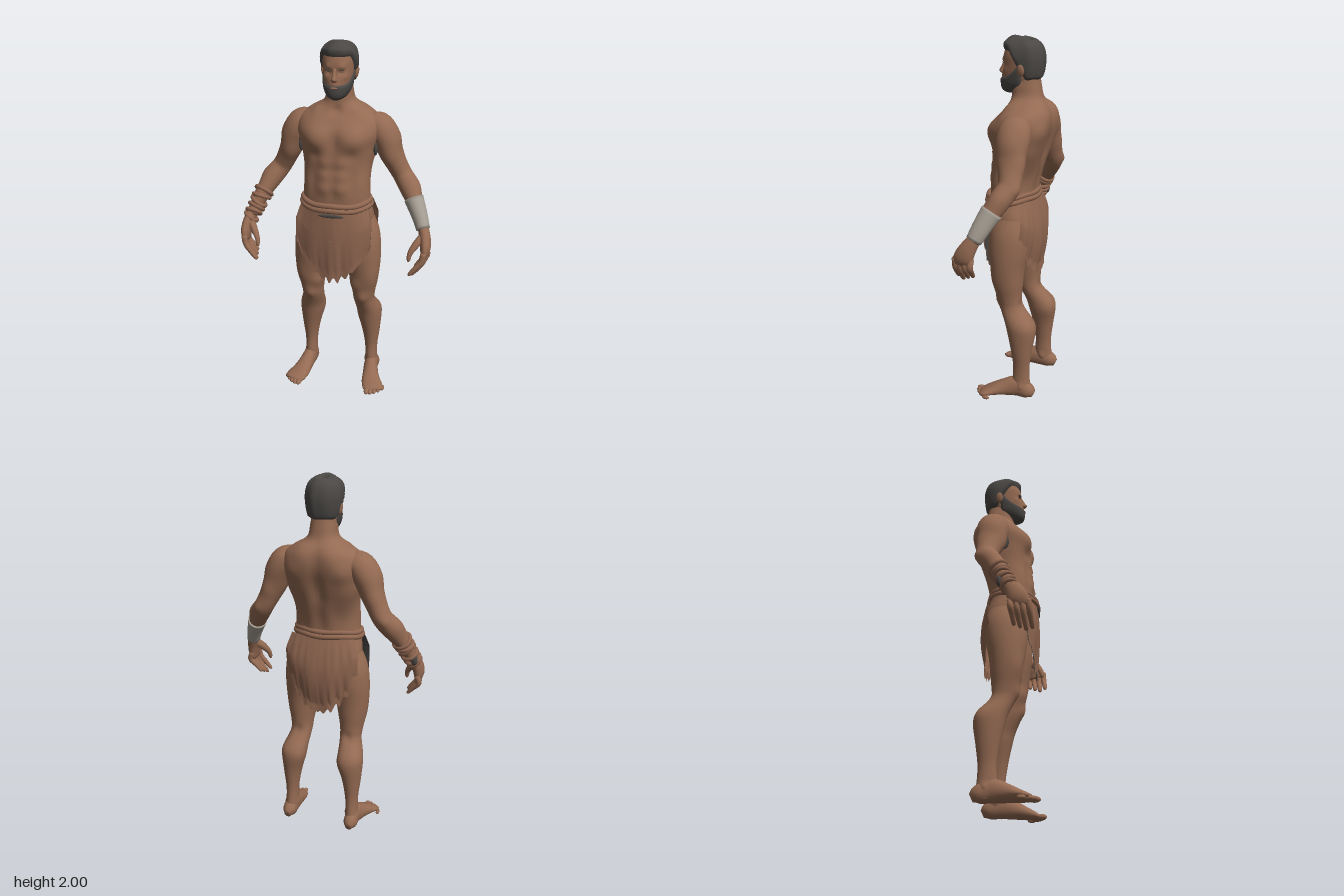
import * as THREE from 'three';
import { ParametricGeometry } from 'three/addons/geometries/ParametricGeometry.js';

const V = (x, y, z) => new THREE.Vector3(x, y, z);
const clamp = THREE.MathUtils.clamp;

// Smooth closed skin through elliptical sections [x, y, z, radiusU, radiusV].
function loft(rows, { seg = 24, sub = 4, level = false, power = 2 } = {}) {
  const path = new THREE.CatmullRomCurve3(rows.map(r => V(r[0], r[1], r[2])), false, 'catmullrom');
  const size = new THREE.CatmullRomCurve3(rows.map(r => V(r[3], r[4], 0)), false, 'catmullrom');
  const n = (rows.length - 1) * sub, pos = [], idx = [];
  const bend = c => Math.sign(c) * Math.abs(c) ** (2 / power);
  for (let i = 0; i <= n; i++) {
    const c = path.getPoint(i / n), s = size.getPoint(i / n), t = path.getTangent(i / n);
    if (level) t.set(0, Math.sign(rows[1][1] - rows[0][1]), 0);
    const u = V(1, 0, 0).addScaledVector(t, -t.x).normalize(), v = t.clone().cross(u);
    for (let j = 0; j < seg; j++) {
      const a = j / seg * Math.PI * 2;
      const p = c.clone().addScaledVector(u, bend(Math.cos(a)) * Math.max(s.x, 0.001))
        .addScaledVector(v, bend(Math.sin(a)) * Math.max(s.y, 0.001));
      pos.push(p.x, p.y, p.z);
      const a0 = i * seg + j, b0 = i * seg + (j + 1) % seg;
      if (i < n) idx.push(a0, b0, b0 + seg, a0, b0 + seg, a0 + seg);
    }
  }
  const end = pos.length / 3;
  pos.push(...path.getPoint(0).toArray(), ...path.getPoint(1).toArray());
  for (let j = 0; j < seg; j++) {
    const k = (j + 1) % seg;
    idx.push(end, k, j, end + 1, n * seg + j, n * seg + k);
  }
  const g = new THREE.BufferGeometry();
  g.setAttribute('position', new THREE.Float32BufferAttribute(pos, 3));
  g.setIndex(idx);
  g.computeVertexNormals();
  return g;
}
// Level sections given as [y, xMin, xMax, zFront, zBack].
const spans = (rows, opt) => loft(rows.map(([y, a, b, f, k]) =>
  [(a + b) / 2, y, (f + k) / 2, (b - a) / 2, (f - k) / 2]), { level: true, ...opt });

// Push vertices along their normals by amount(p), never below the ground.
function sculpt(g, amount) {
  const P = g.attributes.position, N = g.attributes.normal, p = V(), m = V();
  for (let i = 0; i < P.count; i++) {
    p.fromBufferAttribute(P, i);
    p.addScaledVector(m.fromBufferAttribute(N, i), amount(p));
    P.setXYZ(i, p.x, Math.max(p.y, 0), p.z);
  }
  g.computeVertexNormals();
  return g;
}
// Sum of soft bumps [x, y, z, radius, height, vertical stretch].
const bumps = (list, mirrored) => p => list.reduce((sum, [x, y, z, r, h, k = 1]) => {
  const dx = (mirrored ? Math.abs(p.x) : p.x) - x, dy = (p.y - y) / k, dz = p.z - z;
  return sum + h * Math.exp(-(dx * dx + dy * dy + dz * dz) / (r * r));
}, 0);

function mirror(g) {
  const m = g.clone().scale(-1, 1, 1), I = m.index.array;
  for (let i = 0; i < I.length; i += 3) [I[i], I[i + 1]] = [I[i + 1], I[i]];
  m.computeVertexNormals();
  return m;
}
const blob = (x, y, z, rx, ry, rz, turn = 0) =>
  new THREE.SphereGeometry(1, 16, 12).scale(rx, ry, rz).rotateZ(turn).translate(x, y, z);

export function createModel() {
  const group = new THREE.Group();
  const mat = (name, color, side = THREE.FrontSide) =>
    Object.assign(new THREE.MeshStandardMaterial({ color, side }), { name });
  const skin = mat('skin', 0x946a52), cloth = mat('cloth', 0x8f6650, THREE.DoubleSide);
  const hair = mat('hair', 0x4a4744, THREE.DoubleSide), bandage = mat('bandage', 0xa69e93);
  const add = (name, g, m) => {
    const mesh = new THREE.Mesh(g, m);
    mesh.name = name;
    group.add(mesh);
  };
  const pair = (name, g, m) => { add('left' + name, g, m); add('right' + name, mirror(g), m); };

  // Torso and neck
  const body = [[0.86, 0.1, 0.05, -0.06], [0.95, 0.19, 0.1, -0.12], [1.05, 0.2, 0.125, -0.122],
    [1.15, 0.184, 0.14, -0.095], [1.25, 0.179, 0.143, -0.098], [1.35, 0.182, 0.132, -0.135],
    [1.45, 0.2, 0.13, -0.168], [1.53, 0.222, 0.122, -0.184], [1.595, 0.212, 0.085, -0.18],
    [1.64, 0.158, 0.052, -0.165], [1.685, 0.085, 0.036, -0.132], [1.75, 0.068, 0.035, -0.118],
    [1.82, 0.058, 0.02, -0.108]];
  const muscles = [[0.095, 1.51, 0.115, 0.07, 0.026], [0, 1.51, 0.13, 0.03, -0.014, 2],
    [0.1, 1.425, 0.13, 0.035, -0.01], [0.16, 1.42, -0.1, 0.08, 0.014], [0.075, 1.6, -0.17, 0.06, 0.014],
    [0.14, 1.52, -0.17, 0.06, 0.016], [0, 1.42, -0.16, 0.035, -0.022, 5], [0.05, 1.25, -0.1, 0.04, 0.012, 2],
    [0.11, 1.635, 0.03, 0.03, 0.006], [0, 1.645, 0.045, 0.025, -0.012], [0.09, 1.0, -0.12, 0.07, 0.008],
    [0, 1.22, 0.145, 0.012, -0.006, 3], [0.105, 1.27, 0.12, 0.025, -0.006, 3]];
  for (const y of [1.385, 1.315, 1.245]) muscles.push([0.042, y, 0.135, 0.032, 0.011]);
  add('torso', sculpt(spans(body.map(([y, w, f, b]) => [y, -w, w, f, b]),
    { seg: 72, sub: 8, power: 2.3 }), bumps(muscles, true)), skin);

  // Legs
  pair('Leg', sculpt(spans([[1.08, 0.03, 0.19, 0.09, -0.09], [0.98, 0.02, 0.23, 0.115, -0.112],
    [0.88, 0.03, 0.243, 0.12, -0.105], [0.78, 0.052, 0.242, 0.106, -0.085], [0.68, 0.072, 0.23, 0.085, -0.075],
    [0.6, 0.085, 0.215, 0.07, -0.07], [0.54, 0.09, 0.211, 0.055, -0.085], [0.46, 0.098, 0.236, 0.02, -0.142],
    [0.4, 0.105, 0.24, 0.003, -0.155], [0.3, 0.13, 0.232, -0.02, -0.142], [0.2, 0.147, 0.22, -0.035, -0.13],
    [0.12, 0.15, 0.22, -0.032, -0.132], [0.06, 0.152, 0.225, -0.035, -0.14], [0.02, 0.16, 0.22, -0.05, -0.135]],
  { seg: 36, sub: 5 }), bumps([[0.15, 0.575, 0.07, 0.035, 0.012], [0.11, 0.66, 0.06, 0.04, 0.013],
    [0.2, 0.7, 0.07, 0.045, 0.01, 1.5], [0.12, 0.43, -0.13, 0.045, 0.01, 1.5], [0.21, 0.45, -0.12, 0.04, 0.008, 1.5],
    [0.15, 0.56, -0.08, 0.03, -0.012], [0.15, 0.09, -0.08, 0.02, 0.008], [0.225, 0.08, -0.09, 0.02, 0.008]])), skin);

  // Feet and toes
  pair('Foot', loft([[0.19, 0.035, -0.158, 0.018, 0.022], [0.19, 0.05, -0.125, 0.038, 0.046],
    [0.19, 0.066, -0.06, 0.04, 0.06], [0.2, 0.052, 0.01, 0.045, 0.048], [0.215, 0.036, 0.07, 0.055, 0.033],
    [0.235, 0.024, 0.115, 0.058, 0.021], [0.243, 0.017, 0.14, 0.045, 0.013]]), skin);
  for (let i = 0; i < 5; i++)
    pair('Toe', blob(0.205 + 0.021 * i, 0.017 - 0.001 * i, 0.15 - 0.004 * i * i + 0.002 * i,
      0.016 - 0.0015 * i, 0.015 - 0.001 * i, 0.03 - 0.002 * i), skin);

  // Arms
  pair('Arm', sculpt(loft([[0.12, 1.575, -0.065, 0.03, 0.06], [0.2, 1.557, -0.06, 0.07, 0.083],
    [0.24, 1.5, -0.058, 0.072, 0.088], [0.27, 1.42, -0.06, 0.064, 0.073], [0.3, 1.355, -0.068, 0.056, 0.063],
    [0.335, 1.29, -0.075, 0.053, 0.058], [0.375, 1.235, -0.05, 0.055, 0.057], [0.42, 1.16, -0.005, 0.045, 0.05],
    [0.455, 1.09, 0.03, 0.036, 0.043], [0.48, 1.03, 0.06, 0.03, 0.036]], { seg: 32, sub: 5 }),
  bumps([[0.29, 1.5, -0.06, 0.06, 0.01], [0.27, 1.39, 0.01, 0.045, 0.01, 1.4], [0.3, 1.4, -0.13, 0.045, 0.012, 1.4],
    [0.3, 1.42, -0.05, 0.025, -0.008], [0.36, 1.28, -0.13, 0.025, 0.01], [0.42, 1.24, -0.04, 0.04, 0.008]])), skin);
  pair('ArmpitHair', blob(0.203, 1.45, 0.0, 0.012, 0.045, 0.03), hair);

  // Hands
  pair('Palm', loft([[0.476, 1.045, 0.052, 0.029, 0.034], [0.494, 0.99, 0.085, 0.03, 0.045],
    [0.5, 0.94, 0.108, 0.027, 0.053], [0.495, 0.9, 0.115, 0.016, 0.047]]), skin);
  for (let i = 0; i < 4; i++) {
    const z = 0.16 - 0.03 * i, lift = 0.012 * Math.abs(i - 1), x = 0.007 * i;
    pair('Finger', loft([[0.497, 0.935, z - 0.003, 0.016, 0.016], [0.487 + x, 0.88 + lift / 2, z, 0.016, 0.016],
      [0.457 + x, 0.835 + lift, z + 0.006, 0.014, 0.014], [0.43 + x, 0.803 + lift, z + 0.01, 0.01, 0.011],
      [0.423 + x, 0.793 + lift, z + 0.01, 0.003, 0.004]], { seg: 12 }), skin);
  }
  pair('Thumb', loft([[0.48, 1.0, 0.085, 0.022, 0.026], [0.45, 0.965, 0.12, 0.02, 0.022],
    [0.425, 0.925, 0.145, 0.014, 0.015], [0.42, 0.89, 0.155, 0.01, 0.011], [0.421, 0.88, 0.157, 0.003, 0.003]],
  { seg: 12 }), skin);

  // Wrist bandage on the left, wound strips on the right
  add('wristBandage', loft([[0.412, 1.175, -0.014, 0.053, 0.058], [0.437, 1.127, 0.012, 0.047, 0.052],
    [0.457, 1.085, 0.033, 0.042, 0.048], [0.478, 1.033, 0.058, 0.037, 0.042]]), bandage);
  const along = V(-0.06, -0.13, 0.065).normalize();
  for (let i = 0; i < 6; i++) {
    const k = i / 5, r = 0.047 - 0.01 * k;
    const ring = new THREE.TorusGeometry(r, 0.012, 10, 28);
    ring.applyQuaternion(new THREE.Quaternion().setFromUnitVectors(V(0, 0, 1),
      along.clone().add(V(0.25 * Math.sin(i * 2.1), 0, 0.25 * Math.cos(i * 1.7))).normalize()));
    add('wristWrap', ring.translate(-0.425 - 0.058 * k, 1.15 - 0.135 * k, 0.065 * k), cloth);
  }
  add('wrapShadowLining', blob(-0.493, 1.045, 0.012, 0.018, 0.03, 0.014), hair);

  // Head
  const skull = (sub = 8) => spans([[1.712, 0.02, 0.07, 0.0], [1.726, 0.044, 0.088, -0.05], [1.757, 0.063, 0.093, -0.085],
    [1.8, 0.073, 0.09, -0.112], [1.85, 0.08, 0.083, -0.122], [1.9, 0.082, 0.08, -0.122],
    [1.945, 0.07, 0.064, -0.108], [1.97, 0.04, 0.03, -0.075], [1.976, 0.005, -0.01, -0.03]]
    .map(([y, w, f, b]) => [y, -w, w, f, b]), { seg: 72, sub, power: 2.2 });
  add('head', sculpt(skull(), bumps([[0.032, 1.85, 0.075, 0.017, -0.01], [0.035, 1.873, 0.075, 0.018, 0.007],
    [0.05, 1.825, 0.06, 0.02, 0.005], [0, 1.79, 0.09, 0.02, 0.005]], true)), skin);
  add('nose', spans([[1.795, -0.012, 0.012, 0.085, 0.06], [1.806, -0.018, 0.018, 0.106, 0.06],
    [1.818, -0.015, 0.015, 0.114, 0.06], [1.84, -0.01, 0.01, 0.1, 0.06], [1.87, -0.011, 0.011, 0.085, 0.06]],
  { seg: 16 }), skin);
  pair('Ear', blob(0.088, 1.83, -0.04, 0.011, 0.032, 0.02, -0.2), skin);
  pair('Eyebrow', blob(0.034, 1.862, 0.074, 0.018, 0.003, 0.007, 0.12), hair);
  pair('Eye', blob(0.032, 1.849, 0.063, 0.01, 0.003, 0.007), hair);
  add('mouth', blob(0, 1.772, 0.099, 0.02, 0.005, 0.006), skin);

  // Hair and beard rise out of the skull where their regions begin
  const crown = bumps([[0, 1.975, -0.05, 0.018, -0.035], [0.012, 1.975, -0.065, 0.01, -0.02]]);
  const quiff = bumps([[0.015, 1.965, 0.04, 0.045, 0.009]]);
  add('hair', sculpt(skull(10), p => {
    const line = THREE.MathUtils.lerp(1.775, 1.925, clamp((p.z + 0.06) / 0.09, 0, 1));
    const strands = 0.002 * Math.sin(90 * p.x + 60 * p.z);
    return clamp((p.y - line) * 0.8, -0.015, 0.017) + (p.y > line ? strands + quiff(p) + crown(p) : 0);
  }), hair);
  add('beard', sculpt(skull(10), p => {
    const top = 1.785 + 5.5 * Math.max(0.09 - p.z, 0) ** 2;
    return clamp(Math.min(top - p.y, p.z + 0.035) * 0.8, -0.012, 0.008);
  }), hair);

  // Rolled waistband
  for (const [lift, grow] of [[0.014, 0], [-0.01, 0.006]]) {
    const loop = [];
    for (let i = 0; i < 24; i++) {
      const a = i / 24 * Math.PI * 2, s = Math.sin(a);
      loop.push(V((0.182 + grow) * Math.cos(a), 1.152 + lift - 0.012 * s + 0.003 * Math.sin(5 * a),
        0.033 + (0.128 + grow) * s));
    }
    add('waistband', new THREE.TubeGeometry(new THREE.CatmullRomCurve3(loop, true), 72, 0.015, 10, true), cloth);
  }

  // Torn loincloth flaps; the front one has a dark lining
  const flap = (dir, inset = 0) => new ParametricGeometry((u, v, out) => {
    const s = u * 2 - 1, d = 1 - v, swell = Math.sin(Math.PI * Math.min(d * 1.1, 1));
    const torn = 0.018 * Math.abs(Math.sin(13 * s + dir)) + 0.01 * Math.sin(31 * s);
    const bottom = 0.705 + 0.2 * s * s + torn, y = 1.145 + (bottom - 1.145) * d;
    const fold = 0.004 * d * Math.sin(11 * s + 2 * d);
    const x = s * (0.182 + 0.03 * Math.min(d * 2.5, 1) - 0.006 * d);
    const z = dir > 0 ? 0.168 - 0.08 * s * s * (1 - 0.6 * d) + 0.01 * swell - 0.01 * d
      : -(0.098 + 0.035 * swell + 0.025 * d) * Math.sqrt(1 - 0.65 * s * s);
    out.set(dir * x, y, z + fold - inset);
  }, 72, 24);
  add('frontFlap', flap(1), cloth);
  add('frontFlapLining', flap(1, 0.004), hair);
  add('backFlap', flap(-1), cloth);
  add('flapGap', blob(0, 1.105, 0.172, 0.07, 0.01, 0.006), hair);
  add('flapPatch', blob(0, 0.96, 0.171, 0.014, 0.014, 0.004), bandage);
  return group;
}
